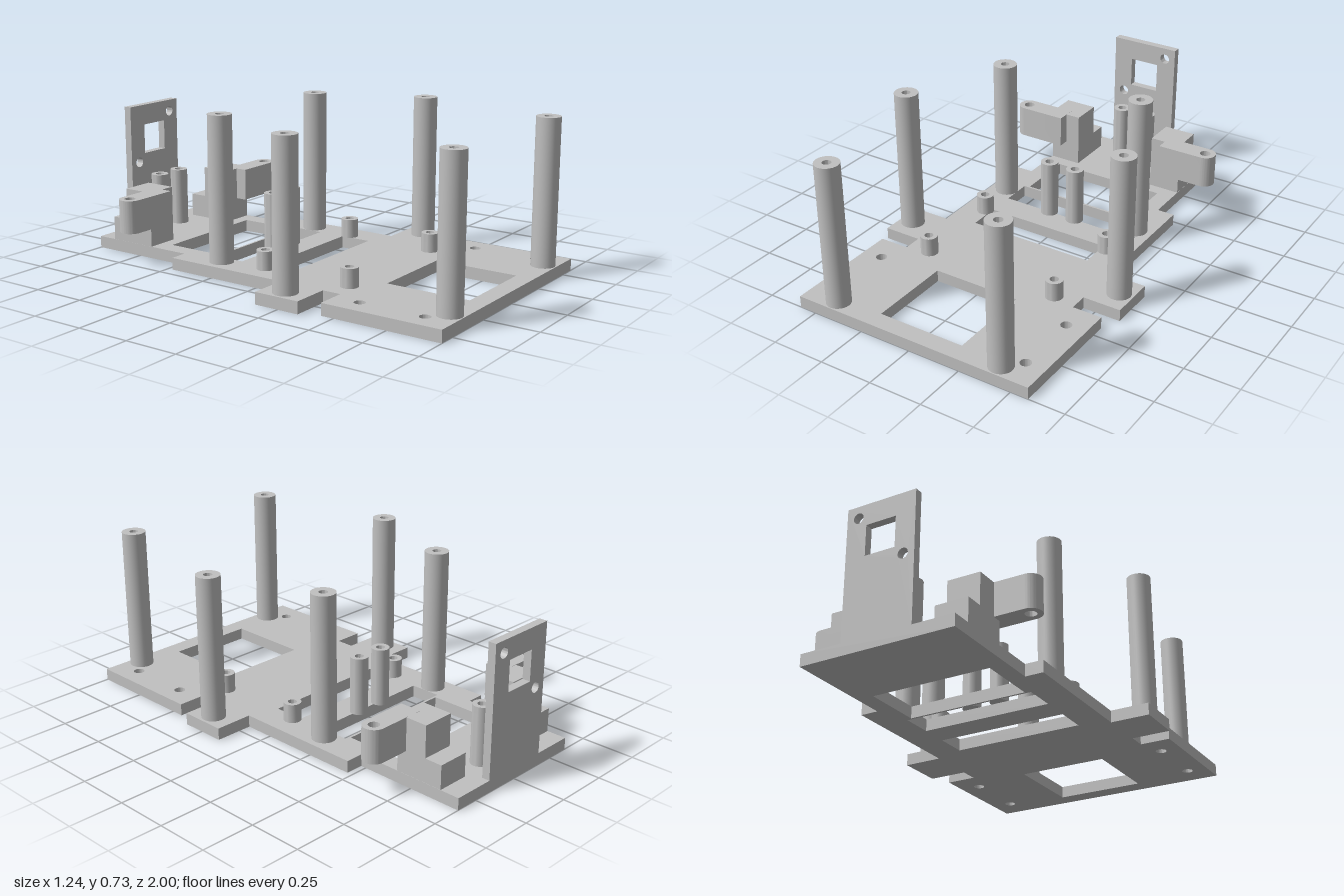
import * as THREE from 'three';
import { toCreasedNormals } from 'three/addons/utils/BufferGeometryUtils.js';

const PLATE = 0.055;

export function createModel() {
  const model = new THREE.Group();
  model.name = 'mountingChassis';
  const grey = new THREE.MeshStandardMaterial({ color: 0xc0c0c0 });
  grey.name = 'plain grey';

  const add = (name, geometry) => {
    const mesh = new THREE.Mesh(geometry, grey);
    mesh.name = name;
    model.add(mesh);
    return mesh;
  };
  const polygon = (points) => new THREE.Shape(points.map(([x, y]) => new THREE.Vector2(x, y)));
  const rect = (x0, x1, y0, y1) => polygon([[x0, y0], [x1, y0], [x1, y1], [x0, y1]]);
  const circle = (x, y, r) => new THREE.Path().absarc(x, y, r, 0, Math.PI * 2);
  const extrude = (shape, depth) => toCreasedNormals(
    new THREE.ExtrudeGeometry(shape, { depth, bevelEnabled: false, curveSegments: 16 }), 0.6);
  // Shape drawn in x and z, lying flat between two heights
  const slab = (shape, bottom, top) => extrude(shape, top - bottom).rotateX(Math.PI / 2).translate(0, top, 0);

  // Stepped base plate with windows and screw holes
  const half = [
    [0.36, -1], [0.36, -0.475], [0.443, -0.475], [0.443, 0.135], [0.622, 0.135],
    [0.622, 0.353], [0.443, 0.353], [0.443, 0.44], [0.582, 0.44], [0.582, 1],
  ];
  const base = polygon([...half, ...half.map(([x, z]) => [-x, z]).reverse()]);
  base.holes.push(
    rect(-0.208, 0.208, 0.52, 0.915),
    rect(-0.305, 0.305, -0.053, 0.093),
    rect(-0.305, 0.305, -0.328, -0.183),
    rect(-0.28, 0.28, -0.617, -0.338),
  );
  for (const x of [-0.487, 0.487]) {
    for (const z of [0.565, 0.87]) base.holes.push(circle(x, z, 0.025));
  }
  add('basePlate', slab(base, 0, PLATE));

  // Upright rear panel with a square window and two screw holes
  const panel = rect(-0.167, 0.165, PLATE, 0.655);
  panel.holes.push(rect(-0.073, 0.07, 0.417, 0.558), circle(0.11, 0.6, 0.024), circle(-0.113, 0.377, 0.024));
  add('rearPanel', extrude(panel, 0.037).translate(0, 0, -1));

  // Round posts with a blind bore from the top
  const post = (radius, bore, top) => toCreasedNormals(new THREE.LatheGeometry([
    [0, PLATE], [radius, PLATE], [radius, top], [bore, top], [bore, PLATE + 0.01], [0, PLATE + 0.01],
  ].map(([x, y]) => new THREE.Vector2(x, y)), 32), 0.6);
  const postSets = [
    ['tallPost', post(0.055, 0.02, 0.725), [[0.36, -0.254], [0.556, 0.244], [0.416, 0.94]]],
    ['mediumPost', post(0.041, 0.02, 0.325), [[0.069, -0.185], [0.069, -0.873]]],
    ['shortPost', post(0.04, 0.02, 0.142), [[0.332, -0.03], [0.332, 0.412]]],
  ];
  for (const [name, geometry, spots] of postSets) {
    for (const [x, z] of spots) {
      for (const side of [-1, 1]) add(name, geometry).position.set(side * x, 0, z);
    }
  }

  // Stepped side brackets, each with an arm ending in a round eye
  const profile = polygon([[0.675, PLATE], [0.907, PLATE], [0.907, 0.165], [0.823, 0.165], [0.823, 0.312], [0.675, 0.312]]);
  for (const side of [-1, 1]) {
    const block = extrude(profile, 0.152).rotateY(Math.PI / 2).translate(side * 0.283 - 0.076, 0, 0);
    add('bracketBlock', block);

    const end = side * 0.497;
    const arm = new THREE.Shape();
    arm.moveTo(side * 0.278, -0.72);
    arm.lineTo(end, -0.72);
    arm.absarc(end, -0.67, 0.05, -Math.PI / 2, Math.PI / 2, side < 0);
    arm.lineTo(side * 0.278, -0.62);
    arm.holes.push(circle(end, -0.67, 0.025));
    add('bracketArm', slab(arm, 0.16, 0.3125));
  }

  return model;
}
